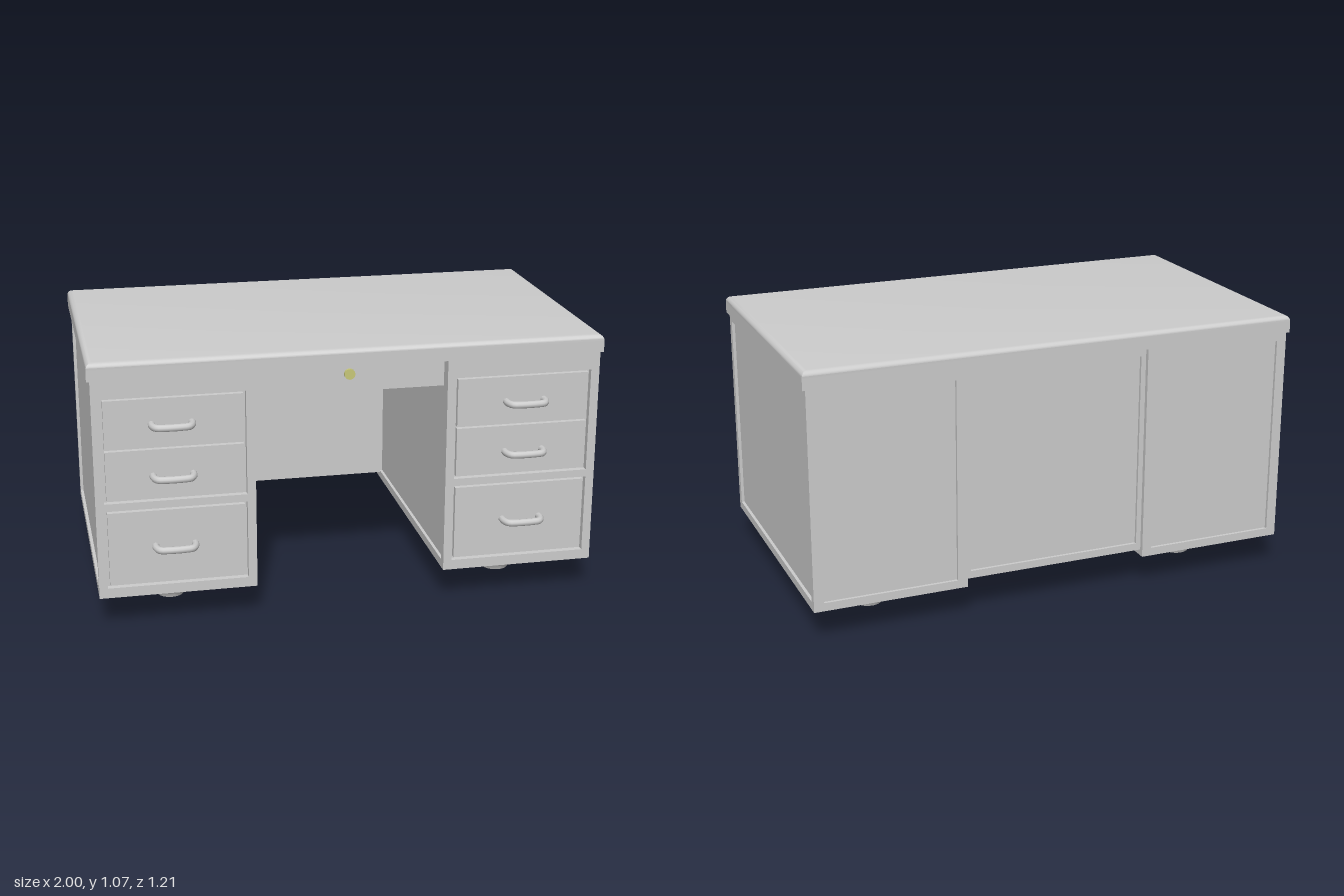
import * as THREE from 'three';
import { toCreasedNormals } from 'three/addons/utils/BufferGeometryUtils.js';

const grey = new THREE.MeshStandardMaterial({ color: 0xcccccc });
const brass = new THREE.MeshStandardMaterial({ color: 0xc8c878 });

function add(parent, name, geometry, x = 0, y = 0, z = 0, material = grey) {
  const mesh = new THREE.Mesh(geometry, material);
  mesh.name = name;
  mesh.position.set(x, y, z);
  parent.add(mesh);
  return mesh;
}

// Box given by its limits on each axis
function addBox(parent, name, [x0, x1], [y0, y1], [z0, z1]) {
  const geometry = new THREE.BoxGeometry(x1 - x0, y1 - y0, z1 - z0);
  return add(parent, name, geometry, (x0 + x1) / 2, (y0 + y1) / 2, (z0 + z1) / 2);
}

function rectangle(Type, x0, x1, y0, y1) {
  return new Type().moveTo(x0, y0).lineTo(x1, y0).lineTo(x1, y1).lineTo(x0, y1).closePath();
}

// Flat plate with rectangular openings, facing +z
function plate(x0, x1, y0, y1, openings, depth) {
  const shape = rectangle(THREE.Shape, x0, x1, y0, y1);
  for (const o of openings) shape.holes.push(rectangle(THREE.Path, ...o));
  return new THREE.ExtrudeGeometry(shape, { depth, bevelEnabled: false });
}

const FRONT = 0.54, BACK = -0.6, BOTTOM = 0.13, UNDER = 1.0;
const INNER = 0.375, OUTER = 0.988, MID = (INNER + OUTER) / 2, HANDLE_X = 0.69;
const RECESS = 0.012;

// Bent bar pull
const pullCurve = new THREE.CatmullRomCurve3([
  [-0.076, -0.01], [-0.075, 0.018], [-0.062, 0.045], [-0.035, 0.051],
  [0.035, 0.051], [0.062, 0.045], [0.075, 0.018], [0.076, -0.01],
].map(([x, z]) => new THREE.Vector3(x, 0, z)));
const pullGeometry = new THREE.TubeGeometry(pullCurve, 32, 0.014, 10);

// Bun foot
const footProfile = new THREE.SplineCurve([
  [0.054, 0], [0.068, 0.026], [0.1, 0.042], [0.125, 0.066], [0.135, 0.095], [0.135, 0.132],
].map(([r, y]) => new THREE.Vector2(r, y))).getPoints(20);
footProfile.unshift(new THREE.Vector2(0, 0), new THREE.Vector2(0.054, 0));
const footGeometry = toCreasedNormals(new THREE.LatheGeometry(footProfile, 40), 0.6);

function pedestal(side) {
  const group = new THREE.Group();
  group.name = side > 0 ? 'leftPedestal' : 'rightPedestal';
  const half = (OUTER - INNER) / 2;
  group.position.x = side * MID;

  addBox(group, 'cabinetBody', [-half + RECESS, half - RECESS], [BOTTOM, UNDER],
    [BACK + RECESS, FRONT - 0.025]);

  // Raised frames round the sunken side and back panels
  const length = FRONT - BACK, centreZ = (FRONT + BACK) / 2;
  const sideFrame = plate(-length / 2, length / 2, BOTTOM, UNDER,
    [[-length / 2 + 0.032, length / 2 - 0.032, 0.163, 0.968]], RECESS);
  for (const s of [-1, 1]) {
    add(group, 'sideFrame', sideFrame, s * (half - RECESS), 0, centreZ).rotation.y = s * Math.PI / 2;
  }
  const backFrame = plate(-half, half, BOTTOM, UNDER,
    [[-half + 0.04, half - 0.04, 0.163, 0.968]], RECESS);
  add(group, 'backFrame', backFrame, 0, 0, BACK + RECESS).rotation.y = Math.PI;

  // Face frame with two drawer openings
  const x0 = -half + 0.034, x1 = half - 0.034;
  add(group, 'faceFrame', plate(-half, half, BOTTOM, UNDER,
    [[x0, x1, 0.17, 0.485], [x0, x1, 0.515, 0.93]], 0.03), 0, 0, FRONT - 0.03);

  // Drawers and their pulls
  for (const [y0, y1, pullY] of [[0.18, 0.475, 0.33], [0.525, 0.72, 0.615], [0.728, 0.92, 0.82]]) {
    addBox(group, 'drawerFront', [x0 + 0.009, x1 - 0.009], [y0, y1], [FRONT - 0.04, FRONT - 0.004]);
    add(group, 'drawerPull', pullGeometry, side * (HANDLE_X - MID), pullY, FRONT);
  }

  for (const z of [0.24, -0.305]) {
    add(group, 'bunFoot', footGeometry, side * (0.685 - MID), 0, z);
  }
  return group;
}

export function createModel() {
  const desk = new THREE.Group();
  desk.name = 'desk';

  // Desk top: square lower edge, rounded upper edge
  const top = new THREE.Group();
  top.name = 'deskTop';
  desk.add(top);
  addBox(top, 'topSlab', [-1, 1], [UNDER, 1.045], [-0.605, 0.545]);
  const r = 0.024;
  const rounded = new THREE.ExtrudeGeometry(rectangle(THREE.Shape, -1 + r, 1 - r, -0.545 + r, 0.605 - r),
    { depth: 0.001, bevelThickness: r, bevelSize: r, bevelSegments: 6 });
  add(top, 'roundedEdge', toCreasedNormals(rounded, 0.6), 0, 1.045, 0).rotation.x = -Math.PI / 2;

  desk.add(pedestal(1), pedestal(-1));

  // Middle drawer with lock
  addBox(desk, 'middleDrawer', [-INNER, INNER], [0.885, UNDER], [-0.54, 0.485]);
  const lock = new THREE.CylinderGeometry(0.021, 0.021, 0.016, 24).rotateX(Math.PI / 2);
  add(desk, 'lock', lock, 0, 0.955, 0.488, brass);

  // Modesty panel closing the knee space at the back, framed on the outside
  addBox(desk, 'modestyPanel', [-INNER - 0.01, INNER + 0.01], [0.155, UNDER], [-0.57, -0.54]);
  add(desk, 'modestyFrame', plate(-INNER, INNER, 0.155, UNDER,
    [[-INNER + 0.02, INNER - 0.02, 0.185, 0.968]], RECESS), 0, 0, -0.57).rotation.y = Math.PI;

  return desk;
}
